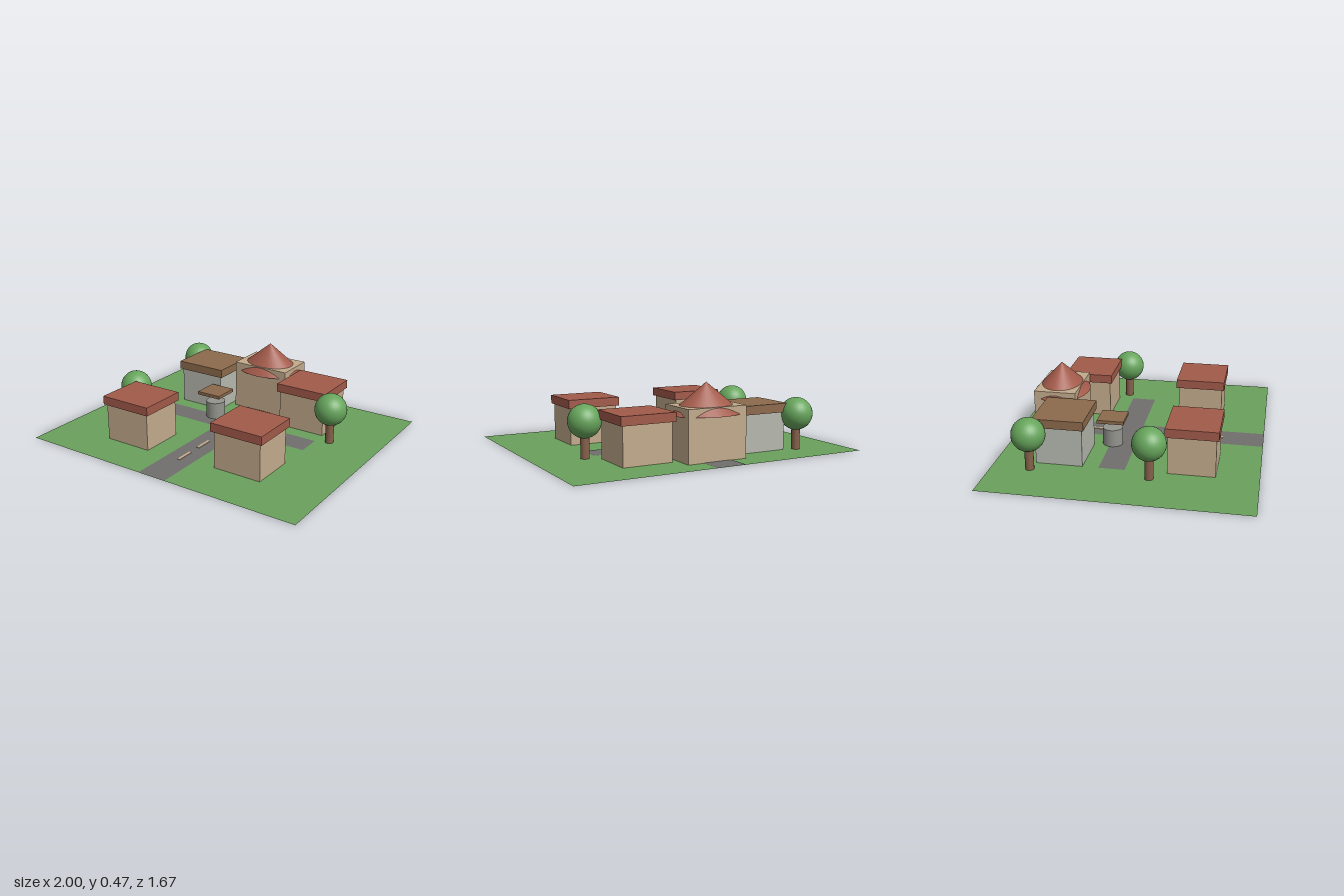
import * as THREE from 'three';

const mat = (name, color, extra = {}) => {
  const m = new THREE.MeshStandardMaterial({ color, ...extra });
  m.name = name;
  return m;
};

export function createModel() {
  const grass = mat('grass', 0x6aa05c, { side: THREE.DoubleSide });
  const asphalt = mat('asphalt', 0x706f6e);
  const plaster = mat('plaster', 0xc3ab8c);
  const greyWall = mat('greyWall', 0xb6b9af);
  const tile = mat('roofTile', 0xa25a4a);
  const brownRoof = mat('brownRoof', 0x8c6a4c);
  const stone = mat('stone', 0x94958e);
  const bark = mat('bark', 0x86604a);
  const leaf = mat('leaf', 0x67a55c);

  const model = new THREE.Group();
  model.name = 'village';

  const add = (parent, name, geo, material, x, y, z) => {
    const m = new THREE.Mesh(geo, material);
    m.name = name;
    m.position.set(x, y, z);
    parent.add(m);
    return m;
  };
  const group = (name, x, z) => {
    const g = new THREE.Group();
    g.name = name;
    g.position.set(x, 0, z);
    model.add(g);
    return g;
  };
  // Box standing on height y
  const box = (parent, name, w, h, d, material, x, y, z) =>
    add(parent, name, new THREE.BoxGeometry(w, h, d), material, x, y + h / 2, z);
  // Flat sheet facing up
  const sheet = (name, w, d, material, x, y, z) =>
    add(model, name, new THREE.PlaneGeometry(w, d).rotateX(-Math.PI / 2), material, x, y, z);

  // Ground, crossing roads and lane dashes
  sheet('ground', 2, 1.667, grass, 0, 0, 0);
  sheet('mainRoad', 0.2, 1.667, asphalt, 0, 0.003, 0);
  sheet('crossRoad', 1.167, 0.167, asphalt, 0, 0.002, -0.083);
  for (const z of [0.5, 0.292, -0.292]) box(model, 'laneDash', 0.02, 0.004, 0.125, plaster, 0, 0.003, z);

  // Four houses with flat overhanging roofs
  const houses = [
    [-0.415, 0.415, plaster, tile],
    [0.415, 0.375, plaster, tile],
    [0.415, -0.42, plaster, tile],
    [-0.415, -0.42, greyWall, brownRoof],
  ];
  for (const [x, z, wall, roof] of houses) {
    const house = group('house', x, z);
    box(house, 'walls', 0.333, 0.249, 0.3, wall, 0, 0.001, 0);
    box(house, 'roof', 0.367, 0.058, 0.33, roof, 0, 0.25, 0);
  }

  // Hall with an oval cone roof cutting through its walls
  const hall = group('hall', 0, -0.545);
  box(hall, 'hallWalls', 0.413, 0.333, 0.28, plaster, 0, 0.001, 0);
  const cone = add(hall, 'hallRoof', new THREE.ConeGeometry(0.242, 0.195, 48), tile, 0, 0.3775, 0);
  cone.scale.z = 0.77;

  // Well with a floating canopy
  const well = group('well', -0.21, -0.152);
  add(well, 'wellDrum', new THREE.CylinderGeometry(0.067, 0.067, 0.116, 24), stone, 0, 0.061, 0);
  box(well, 'wellCanopy', 0.177, 0.022, 0.177, brownRoof, 0, 0.174, 0);

  // Round trees
  for (const [x, z] of [[-0.667, -0.585], [-0.667, 0.167], [0.667, -0.21]]) {
    const tree = group('tree', x, z);
    add(tree, 'trunk', new THREE.CylinderGeometry(0.028, 0.028, 0.166, 16), bark, 0, 0.084, 0);
    add(tree, 'crown', new THREE.SphereGeometry(0.107, 28, 18), leaf, 0, 0.235, 0);
  }
  return model;
}
